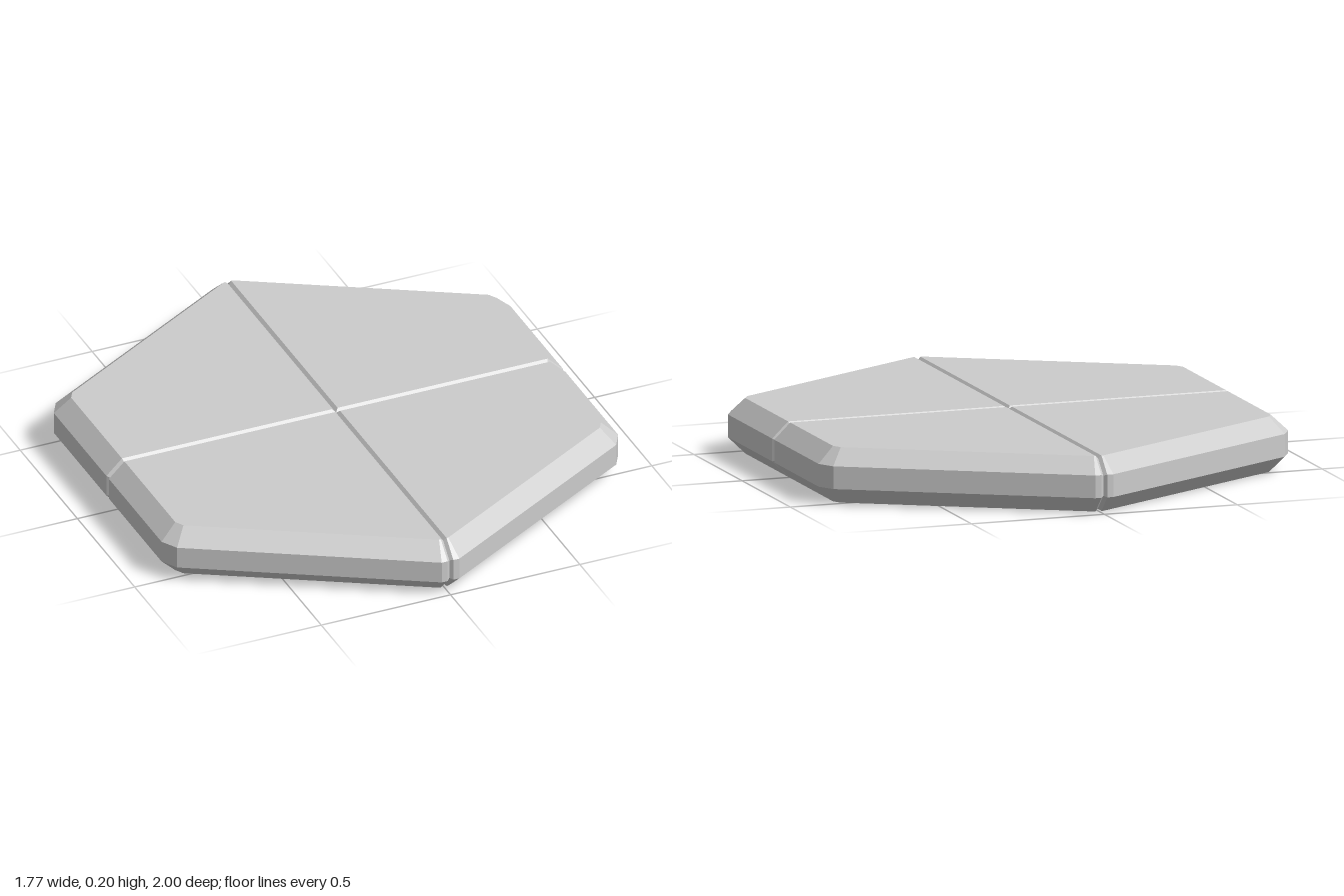
import * as THREE from 'three';

const HEIGHT = 0.2;   // slab thickness
const BEVEL = 0.06;   // chamfer around the rim
const G = 0.011;      // half width and depth of the V grooves between quarters
const K = Math.SQRT2 - 1;

// Rim corners of one quarter (+x, +z) at a given inset, from the z axis to the x axis.
// edges: the hexagon's sides and the small cuts on its corners, as [normal angle, distance]
function rim(inset) {
  const edges = [[90, 1], [60, 0.883], [30, 1], [0, 0.883]].map(([deg, dist]) => {
    const a = THREE.MathUtils.degToRad(deg);
    return [Math.cos(a), Math.sin(a), dist - inset];
  });
  const points = [];
  for (let i = 0; i < 3; i++) {
    const [a, b, e] = edges[i], [c, d, f] = edges[i + 1];
    const det = a * d - b * c;
    points.push([(e * d - b * f) / det, (a * f - e * c) / det]);
  }
  return points;
}

// One ring: seam point, groove edge, three rim corners, groove edge, seam point
function ring({ inset, y, seamInset, seamY }) {
  const mid = rim(inset).map(([x, z]) => [x, y, z]);
  return [
    [0, seamY, 1 - seamInset], [G, y, 1 - inset],
    ...mid,
    [0.883 - inset, y, G], [0.883 - seamInset, seamY, 0],
  ];
}

function quarterGeometry(sx, sz) {
  const positions = [];
  const tri = (a, b, c) => {
    const order = sx * sz > 0 ? [a, b, c] : [a, c, b];
    order.forEach(([x, y, z]) => positions.push(x * sx, y, z * sz));
  };
  const quad = (a, b, c, d) => { tri(a, b, c); tri(a, c, d); };

  // Rings from the top edge down to the bottom edge
  const rings = [
    { inset: BEVEL, y: HEIGHT, seamInset: BEVEL + G * K, seamY: HEIGHT - G },
    { inset: 0, y: 0.142, seamInset: G, seamY: 0.142 - G * K },
    { inset: 0, y: 0.06, seamInset: G, seamY: 0.06 + G * K },
    { inset: BEVEL, y: 0, seamInset: BEVEL + G * K, seamY: G },
  ].map(ring);

  // Bevelled rim
  for (let i = 0; i < 3; i++)
    for (let j = 0; j < 6; j++)
      quad(rings[i][j], rings[i + 1][j], rings[i + 1][j + 1], rings[i][j + 1]);

  // Flat face with its two groove slopes, above and below
  const cap = (r, y, seamY, up) => {
    const face = (a, b, c) => (up ? tri(a, b, c) : tri(a, c, b));
    const corner = [G, y, G], centre = [0, seamY, 0];
    for (let j = 1; j < 5; j++) face(corner, r[j], r[j + 1]);
    face(centre, r[0], r[1]);
    face(centre, r[1], corner);
    face(centre, corner, r[5]);
    face(centre, r[5], r[6]);
  };
  cap(rings[0], HEIGHT, HEIGHT - G, true);
  cap(rings[3], 0, G, false);

  const geometry = new THREE.BufferGeometry();
  geometry.setAttribute('position', new THREE.Float32BufferAttribute(positions, 3));
  geometry.computeVertexNormals();
  return geometry;
}

export function createModel() {
  const model = new THREE.Group();
  model.name = 'hexagonalSlab';
  const material = new THREE.MeshStandardMaterial({ color: 0xcccccc, flatShading: true });

  // Four mirrored quarters meeting in V grooves
  for (const [side, sx] of [['Left', 1], ['Right', -1]])
    for (const [end, sz] of [['front', 1], ['back', -1]]) {
      const quarter = new THREE.Mesh(quarterGeometry(sx, sz), material);
      quarter.name = `${end}${side}Quarter`;
      model.add(quarter);
    }
  return model;
}
